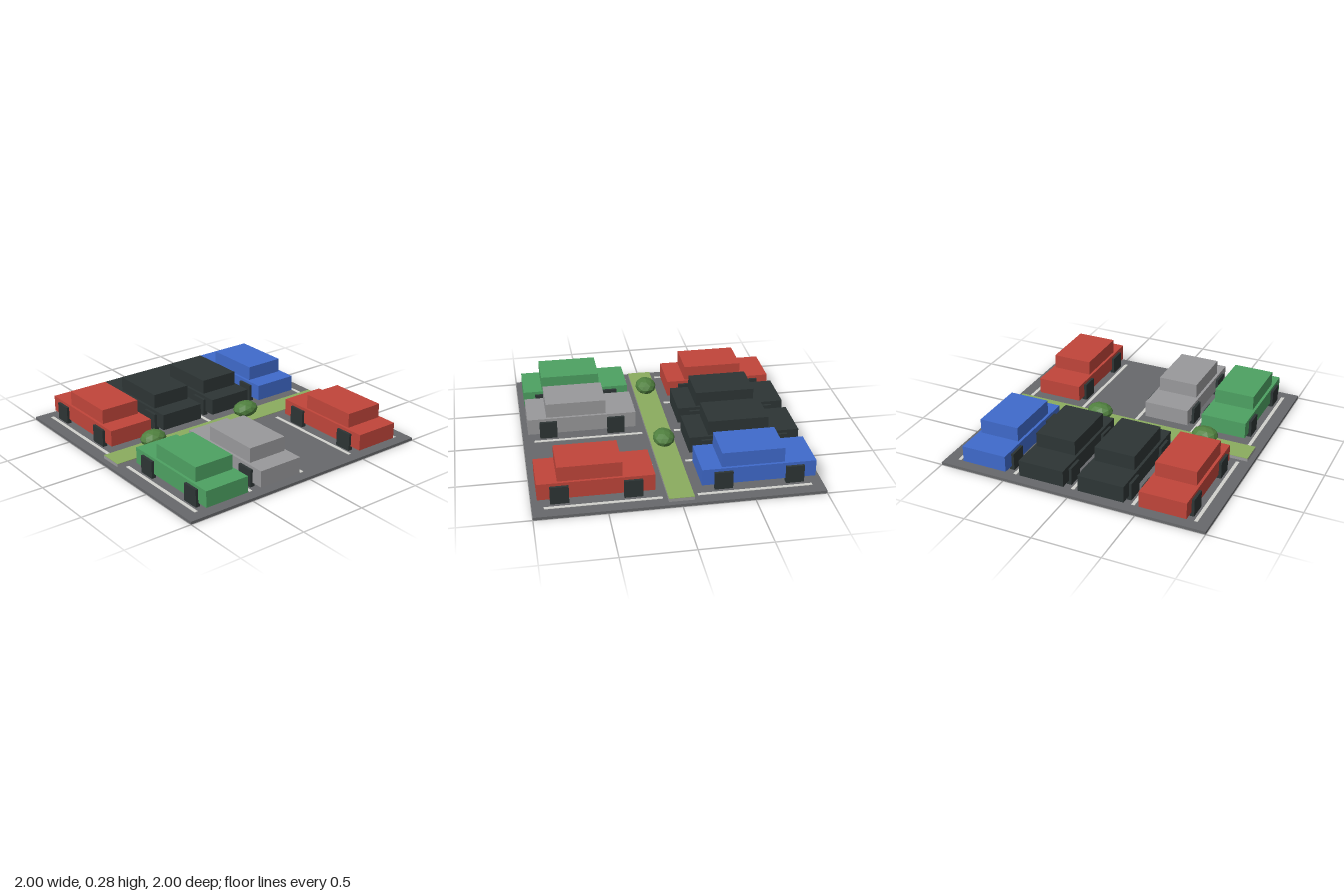
import * as THREE from 'three';

function mat(name, color) {
  const m = new THREE.MeshStandardMaterial({ color });
  m.name = name;
  return m;
}

export function createModel() {
  const asphalt = mat('asphalt', 0x67686b);
  const paint = mat('linePaint', 0xd0d1cc);
  const grey = mat('grey', 0x99999b);
  const grass = mat('grass', 0x8bac5f);
  const leaf = mat('leaf', 0x50803f);
  leaf.flatShading = true;
  const dark = mat('charcoal', 0x2d3535);
  const red = mat('red', 0xc0453a);
  const blue = mat('blue', 0x3f6acb);
  const green = mat('green', 0x4da162);

  const model = new THREE.Group();
  model.name = 'parkingLot';

  // Box given by size, centre in x and z, and the height of its underside
  function box(parent, name, material, [w, h, d], x, bottom, z) {
    const mesh = new THREE.Mesh(new THREE.BoxGeometry(w, h, d), material);
    mesh.name = name;
    mesh.position.set(x, bottom + h / 2, z);
    parent.add(mesh);
    return mesh;
  }

  // Pavement and the planted strip with its kerb
  box(model, 'pavement', asphalt, [2, 0.02, 2], 0, 0, 0);
  box(model, 'kerb', grey, [1.92, 0.025, 0.176], 0, 0.018, 0);
  box(model, 'grassStrip', grass, [1.92, 0.003, 0.176], 0, 0.043, 0);

  // Bay markings on both sides of the strip
  for (const side of [-1, 1]) {
    for (let i = -2; i <= 2; i++) {
      box(model, 'bayLine', paint, [0.025, 0.003, 0.8], i * 0.45, 0.02, side * 0.52);
    }
  }

  // Faceted bushes
  for (const x of [-0.6, 0.24]) {
    const bush = new THREE.Mesh(new THREE.IcosahedronGeometry(1, 1), leaf);
    bush.name = 'bush';
    bush.scale.set(0.1, 0.06, 0.08);
    bush.position.set(x, 0.108, 0);
    model.add(bush);
  }

  // Car: body, cabin set slightly towards +z, four square wheels
  function car(material, x, z) {
    const group = new THREE.Group();
    group.name = 'car';
    group.position.set(x, 0, z);
    box(group, 'body', material, [0.34, 0.12, 0.8], 0, 0.05, 0);
    box(group, 'cabin', material, [0.3, 0.107, 0.44], 0, 0.17, 0.04);
    for (const sx of [-1, 1]) {
      for (const sz of [-1, 1]) {
        box(group, 'wheel', dark, [0.035, 0.128, 0.128], sx * 0.172, 0.02, sz * 0.25);
      }
    }
    model.add(group);
  }

  // One bay of the front row stays empty
  const rows = [
    { z: -0.56, colours: [red, dark, dark, blue] },
    { z: 0.56, colours: [green, grey, null, red] },
  ];
  for (const { z, colours } of rows) {
    colours.forEach((c, i) => { if (c) car(c, -0.68 + i * 0.45, z); });
  }

  return model;
}
